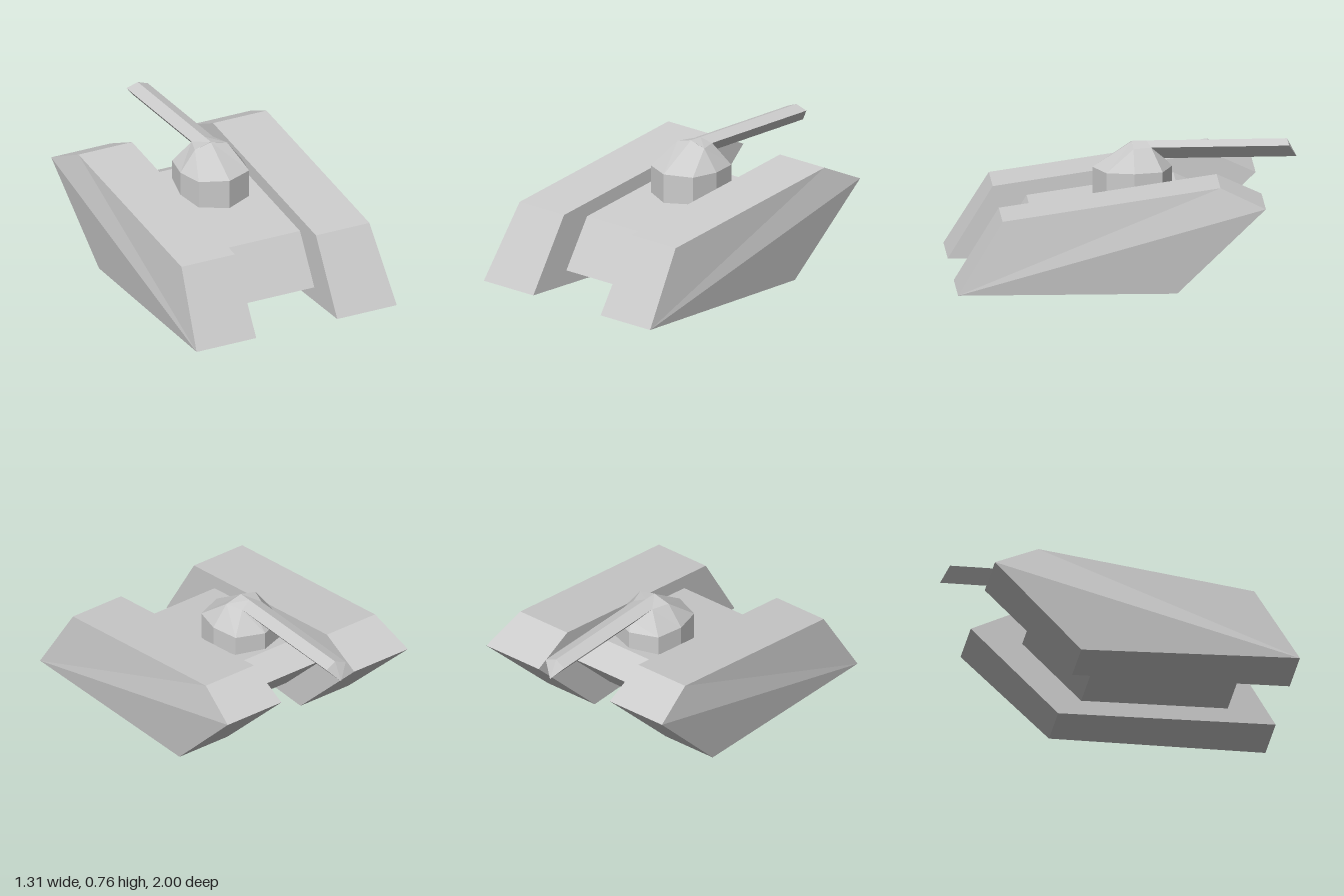
import * as THREE from 'three';

// Skin a list of equal-length rings (clockwise as seen from the last ring) with flat faces.
function loft(name, rings, capStart = true, capEnd = true) {
  const pos = [];
  const tri = (...pts) => pts.forEach((p) => pos.push(...p));
  const n = rings[0].length;
  for (let r = 0; r < rings.length - 1; r++) {
    for (let i = 0; i < n; i++) {
      const j = (i + 1) % n;
      const a = rings[r][i], b = rings[r][j], c = rings[r + 1][j], d = rings[r + 1][i];
      tri(a, c, b);
      tri(a, d, c);
    }
  }
  const first = rings[0], last = rings[rings.length - 1];
  for (let i = 1; i < n - 1; i++) {
    if (capStart) tri(first[0], first[i], first[i + 1]);
    if (capEnd) tri(last[0], last[i + 1], last[i]);
  }
  const geometry = new THREE.BufferGeometry();
  geometry.setAttribute('position', new THREE.Float32BufferAttribute(pos, 3));
  geometry.computeVertexNormals();
  const material = new THREE.MeshStandardMaterial({ color: 0xcccccc, flatShading: true });
  const mesh = new THREE.Mesh(geometry, material);
  mesh.name = name;
  return mesh;
}

const mirror = (ring) => ring.map(([x, y, z]) => [-x, y, z]);

export function createModel() {
  const group = new THREE.Group();
  group.name = 'tank';

  // Side profile [z, y, outer x]: front toe, front top, rear top, rear tip, rear bottom
  const profile = [
    [1, 0.02, 0.655], [0.74, 0.445, 0.615], [-0.52, 0.625, 0.615],
    [-0.78, 0.505, 0.655], [-0.27, 0.003, 0.615],
  ];
  const innerX = 0.265;

  // Track pods, with the outer side creased from toe to rear tip
  const inner = profile.map(([z, y]) => [innerX, y, z]);
  const outer = profile.map(([z, y, x]) => [x, y, z]);
  group.add(loft('leftTrack', [inner, outer]));
  group.add(loft('rightTrack', [mirror(outer), mirror(inner)]));

  // Hull: the same profile, smaller, spanning between the pods
  const s = 0.674;
  const hullSide = profile.map(([z, y]) => [innerX, y * s + 0.09, z * s + 0.046]);
  group.add(loft('hull', [mirror(hullSide), hullSide]));

  // Turret: eight-sided wall with a faceted dome
  const plan = [
    [0, 0.18], [-0.165, 0.11], [-0.2, -0.05], [-0.165, -0.215],
    [0, -0.28], [0.165, -0.215], [0.2, -0.05], [0.165, 0.11],
  ];
  const wall = (y) => plan.map(([x, z]) => [x, y, z]);
  const domeTop = [
    [0, 0.765, -0.05], [-0.105, 0.74, -0.05], [-0.105, 0.74, -0.05], [-0.07, 0.74, -0.155],
    [0, 0.66, -0.235], [0.07, 0.74, -0.155], [0.105, 0.74, -0.05], [0.105, 0.74, -0.05],
  ];
  group.add(loft('turret', [wall(0.4), wall(0.615), domeTop], true, false));

  // Gun barrel: diamond section, flared into the dome roof, slanted at the muzzle
  const section = (w, zTop, zSide, zBottom) => [
    [0, 0.767, zTop], [-w, 0.74, zSide], [0, 0.66, zBottom], [w, 0.74, zSide],
  ];
  group.add(loft('gunBarrel', [
    section(0.105, -0.05, -0.05, -0.1),
    section(0.07, -0.13, -0.155, -0.235),
    section(0.07, -0.945, -0.953, -1),
  ], false, true));

  return group;
}
